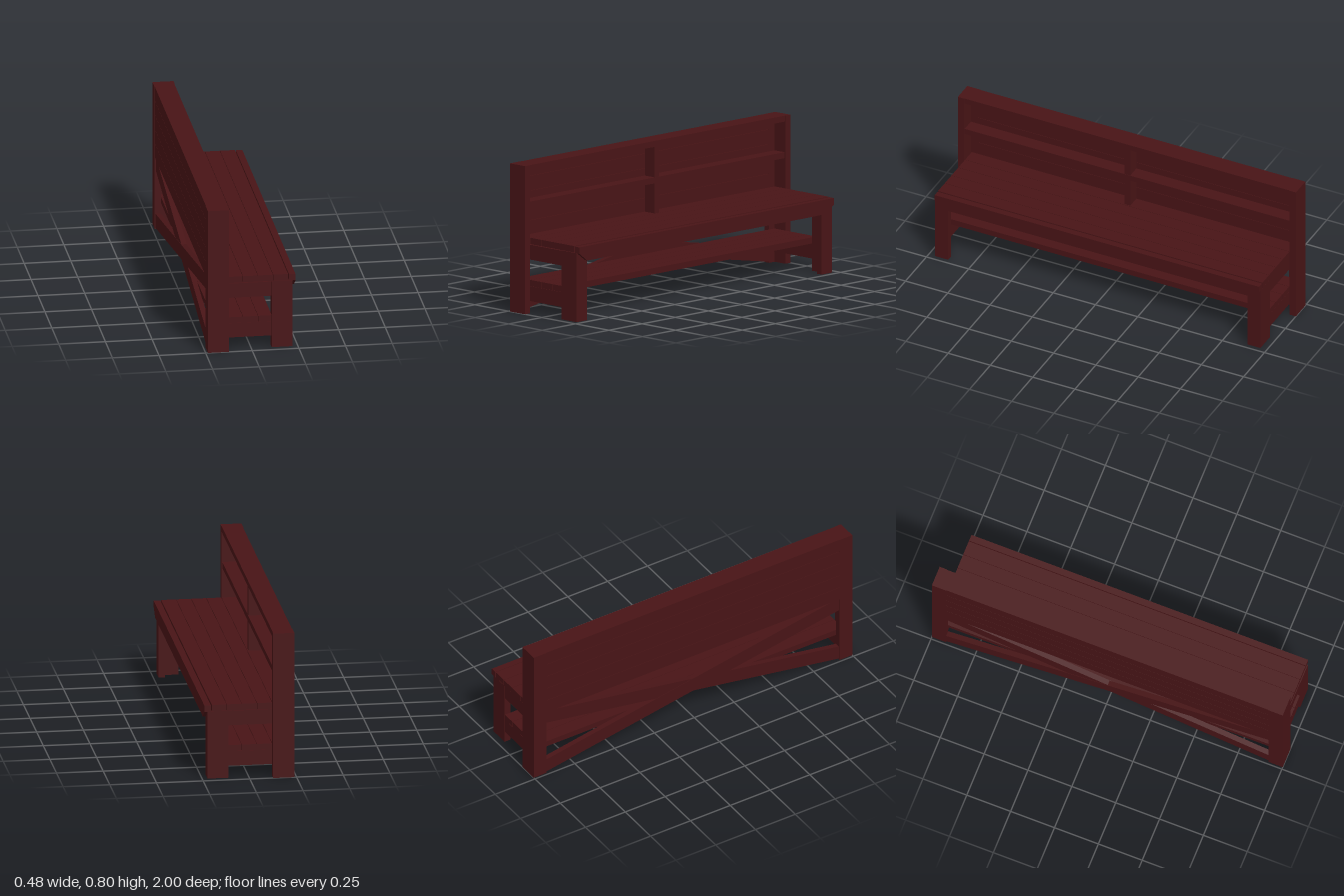
import * as THREE from 'three';

export function createModel() {
  const bench = new THREE.Group();
  const wood = new THREE.MeshStandardMaterial({ color: 0x481416, flatShading: true });

  function add(name, geometry) {
    const mesh = new THREE.Mesh(geometry, wood);
    mesh.name = name;
    bench.add(mesh);
  }
  // board given by its limits on each axis
  function board(name, x0, x1, y0, y1, z0, z1) {
    const g = new THREE.BoxGeometry(x1 - x0, y1 - y0, z1 - z0);
    g.translate((x0 + x1) / 2, (y0 + y1) / 2, (z0 + z1) / 2);
    add(name, g);
  }
  // same board at both ends of the bench
  function pair(name, x0, x1, y0, y1, z0, z1) {
    board(name + 'Left', x0, x1, y0, y1, z0, z1);
    board(name + 'Right', x0, x1, y0, y1, -z1, -z0);
  }
  // outline in (z, y), extruded between two x values
  function profile(name, points, x0, x1) {
    const shape = new THREE.Shape(points.map(p => new THREE.Vector2(p[0], p[1])));
    const g = new THREE.ExtrudeGeometry(shape, { depth: x1 - x0, bevelEnabled: false });
    g.rotateY(-Math.PI / 2);
    g.translate(x1, 0, 0);
    add(name, g);
  }

  // L-shaped rear posts and front legs
  pair('rearPostSide', -0.205, -0.125, 0, 0.8, 0.962, 1);
  pair('rearPostBack', -0.238, -0.205, 0, 0.8, 0.92, 1);
  pair('frontLegSide', 0.11, 0.188, 0, 0.372, 0.925, 0.962);
  pair('frontLegFace', 0.188, 0.222, 0, 0.372, 0.885, 0.962);

  // end rails carrying the seat and the lower shelf
  pair('upperEndRail', -0.205, 0.188, 0.29, 0.37, 0.925, 0.96);
  pair('lowerEndRail', -0.205, 0.188, 0.066, 0.146, 0.925, 0.96);

  // seat planks
  for (let i = 0; i < 5; i++) {
    const x = -0.205 + i * 0.081;
    board('seatPlank', x, x + 0.079, 0.373, 0.407, -0.962, 0.957);
  }
  // lower shelf planks
  for (let i = 0; i < 4; i++) {
    const x = -0.205 + i * 0.081;
    board('shelfPlank', x, i === 3 ? 0.11 : x + 0.079, 0.147, 0.18, -0.96, 0.96);
  }

  // front edge board with clipped lower corners, and rail behind it
  profile('frontApron', [
    [-0.9, 0.327], [0.9, 0.327], [0.957, 0.37], [0.957, 0.405], [-0.962, 0.405], [-0.962, 0.37],
  ], 0.203, 0.238);
  board('seatRail', 0.155, 0.188, 0.312, 0.372, -0.925, 0.925);

  // backrest planks
  for (let i = 0; i < 5; i++) {
    const y = 0.402 + i * 0.08;
    const end = i === 4 ? 0.962 : 0.92;
    board('backPlank', -0.236, -0.205, y, Math.min(y + 0.078, 0.8), -end, end);
  }
  // cap, mid shelf and central divider in front of the planks
  board('backCap', -0.205, -0.127, 0.768, 0.8, -0.962, 0.962);
  board('backShelf', -0.205, -0.13, 0.57, 0.602, -0.962, 0.962);
  board('backDivider', -0.205, -0.132, 0.407, 0.768, -0.017, 0.017);

  // crossed rear braces
  [1, -1].forEach((side, i) => {
    const points = [
      [-0.92, 0.006], [0.92, 0.33], [0.92, 0.41], [-0.92, 0.086],
    ].map(p => [p[0] * side, p[1]]);
    if (side < 0) points.reverse();
    profile('rearBrace', points, -0.234 + i * 0.002, -0.205 + i * 0.002);
  });

  return bench;
}
